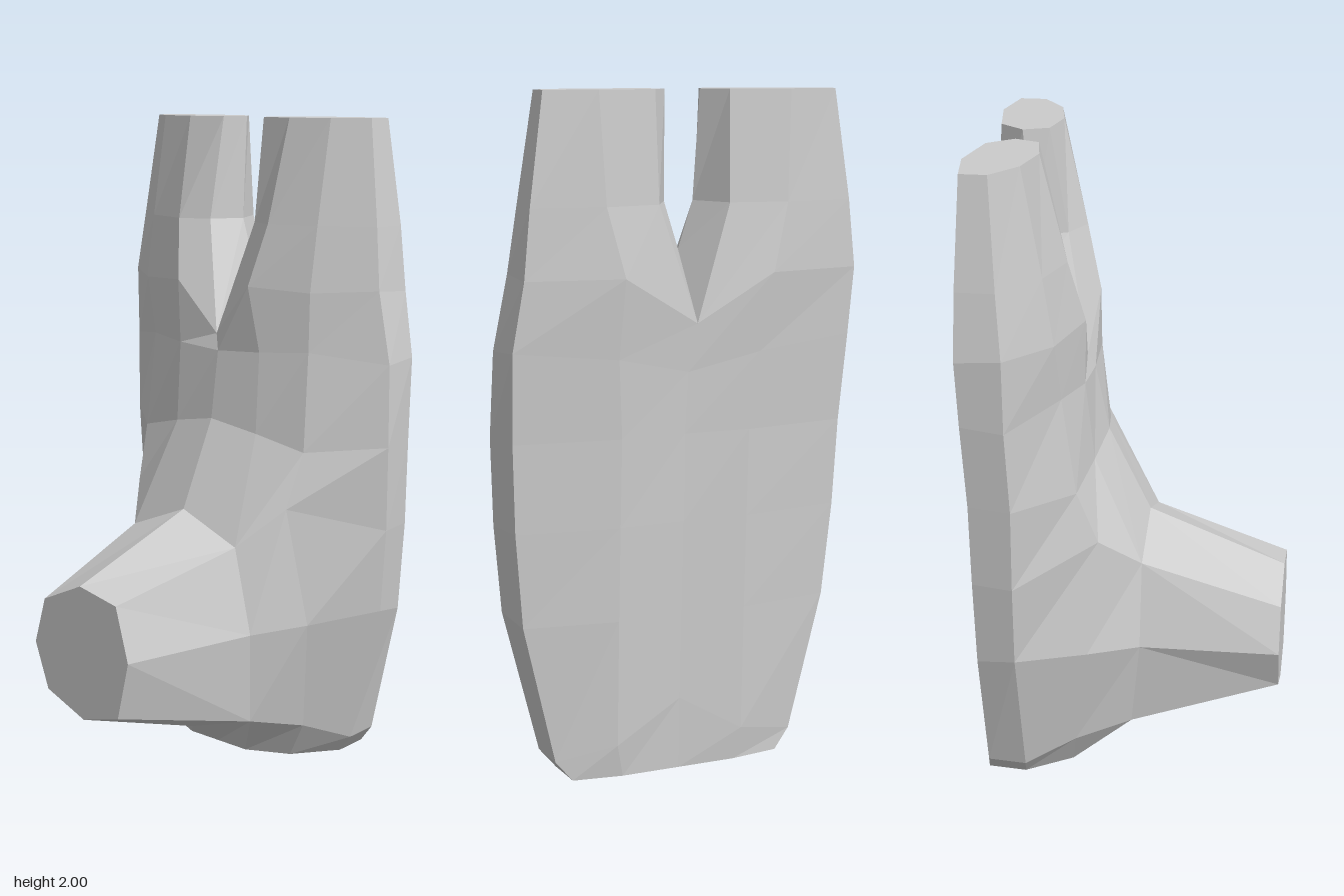
import * as THREE from 'three';

const material = new THREE.MeshStandardMaterial({ color: 0xcccccc, flatShading: true });

// Flat-shaded mesh from a list of triangle corners
function meshFrom(name, tris) {
  const geometry = new THREE.BufferGeometry();
  geometry.setAttribute('position', new THREE.Float32BufferAttribute(tris.flat(), 3));
  geometry.computeVertexNormals();
  const mesh = new THREE.Mesh(geometry, material);
  mesh.name = name;
  return mesh;
}

// Closed band between two rings; columns listed in skip stay open
function band(tris, a, b, skip = []) {
  const n = a.length;
  for (let j = 0; j < n; j++) {
    if (skip.includes(j)) continue;
    const k = (j + 1) % n;
    tris.push(a[j], a[k], b[k], a[j], b[k], b[j]);
  }
}

function cap(tris, ring) {
  for (let j = 1; j < ring.length - 1; j++) tris.push(ring[0], ring[j], ring[j + 1]);
}

// Half section, front centre to back centre, mirrored into a 12-point ring about x = cx
function section(cx, half) {
  const right = half.map(([x, y, z]) => [cx + x, y, z]);
  const left = half.slice(1, -1).reverse().map(([x, y, z]) => [cx - x, y, z]);
  return [...right, ...left];
}

export function createModel() {
  const group = new THREE.Group();

  // Body sections from the base up
  const base = section(0.02, [[0, 0, -0.1], [0.12, 0, -0.1], [0.25, 0, -0.17], [0.34, 0, -0.31],
    [0.33, 0, -0.43], [0.18, 0, -0.45], [0, 0, -0.45]]);
  const chin = section(0.02, [[0, 0.08, 0.02], [0.25, 0.16, 0.02], [0.32, 0.12, -0.15], [0.39, 0.06, -0.3],
    [0.38, 0.06, -0.42], [0.2, 0.1, -0.46], [0, 0.22, -0.455]]);
  const belly = section(0.015, [[0, 0.45, 0.05], [0.28, 0.45, 0.05], [0.38, 0.47, -0.1], [0.505, 0.5, -0.3],
    [0.48, 0.48, -0.42], [0.2, 0.48, -0.46], [0, 0.48, -0.455]]);
  const upperBelly = section(0.01, [[0, 0.8, 0.05], [0.22, 0.715, 0.05], [0.32, 0.83, -0.07], [0.53, 0.76, -0.295],
    [0.505, 0.76, -0.42], [0.2, 0.76, -0.46], [0, 0.76, -0.455]]);
  const chest = section(0.005, [[0, 1.07, -0.08], [0.17, 1.04, -0.1], [0.34, 1.0, -0.13], [0.54, 1.02, -0.29],
    [0.515, 1.02, -0.42], [0.2, 1.02, -0.46], [0, 1.02, -0.45]]);
  const shoulder = section(-0.005, [[0, 1.28, -0.12], [0.17, 1.29, -0.125], [0.33, 1.3, -0.17], [0.54, 1.27, -0.3],
    [0.525, 1.28, -0.43], [0.22, 1.25, -0.465], [0, 1.2, -0.45]]);
  const brow = section(-0.03, [[0, 1.33, -0.14], [0.15, 1.49, -0.12], [0.35, 1.48, -0.18], [0.52, 1.49, -0.3],
    [0.515, 1.48, -0.435], [0.23, 1.48, -0.48], [0, 1.34, -0.455]]);

  const body = [];
  const hole = [0, 11];
  band(body, base, chin);
  band(body, chin, belly, hole);
  band(body, belly, upperBelly, hole);
  band(body, upperBelly, chest);
  band(body, chest, shoulder);
  band(body, shoulder, brow);
  cap(body, [...base].reverse());
  group.add(meshFrom('body', body));

  // Tapered octagonal snout filling the opening in the front
  const root = [upperBelly[0], upperBelly[11], belly[11], chin[11], chin[0], chin[1], belly[1], upperBelly[1]];
  const tip = [[0, 0.635], [-0.16, 0.565], [-0.205, 0.42], [-0.15, 0.28],
    [0.01, 0.22], [0.16, 0.26], [0.205, 0.44], [0.155, 0.605]].map(([x, y]) => [x, y, 0.48]);
  const snout = [];
  band(snout, root, tip);
  cap(snout, tip);
  group.add(meshFrom('snout', snout));

  // Pair of upright prongs joined by a saddle
  const prongRing = (y, points) => points.map(([x, z]) => [x - 0.03, y, z]);
  const rings = [
    [...brow.slice(0, 7), [-0.03, 1.54, -0.31]],
    prongRing(1.68, [[0.095, -0.21], [0.19, -0.165], [0.35, -0.21], [0.495, -0.315],
      [0.495, -0.43], [0.28, -0.46], [0.11, -0.43], [0.045, -0.31]]),
    prongRing(2, [[0.085, -0.26], [0.21, -0.237], [0.35, -0.265], [0.45, -0.335],
      [0.45, -0.415], [0.295, -0.44], [0.115, -0.41], [0.055, -0.335]]),
  ];
  const mirrored = rings.map((ring) => ring.map(([x, y, z]) => [-0.06 - x, y, z]).reverse());
  for (const [name, set] of [['leftProng', rings], ['rightProng', mirrored]]) {
    const prong = [];
    band(prong, set[0], set[1]);
    band(prong, set[1], set[2]);
    cap(prong, set[2]);
    group.add(meshFrom(name, prong));
  }
  return group;
}
